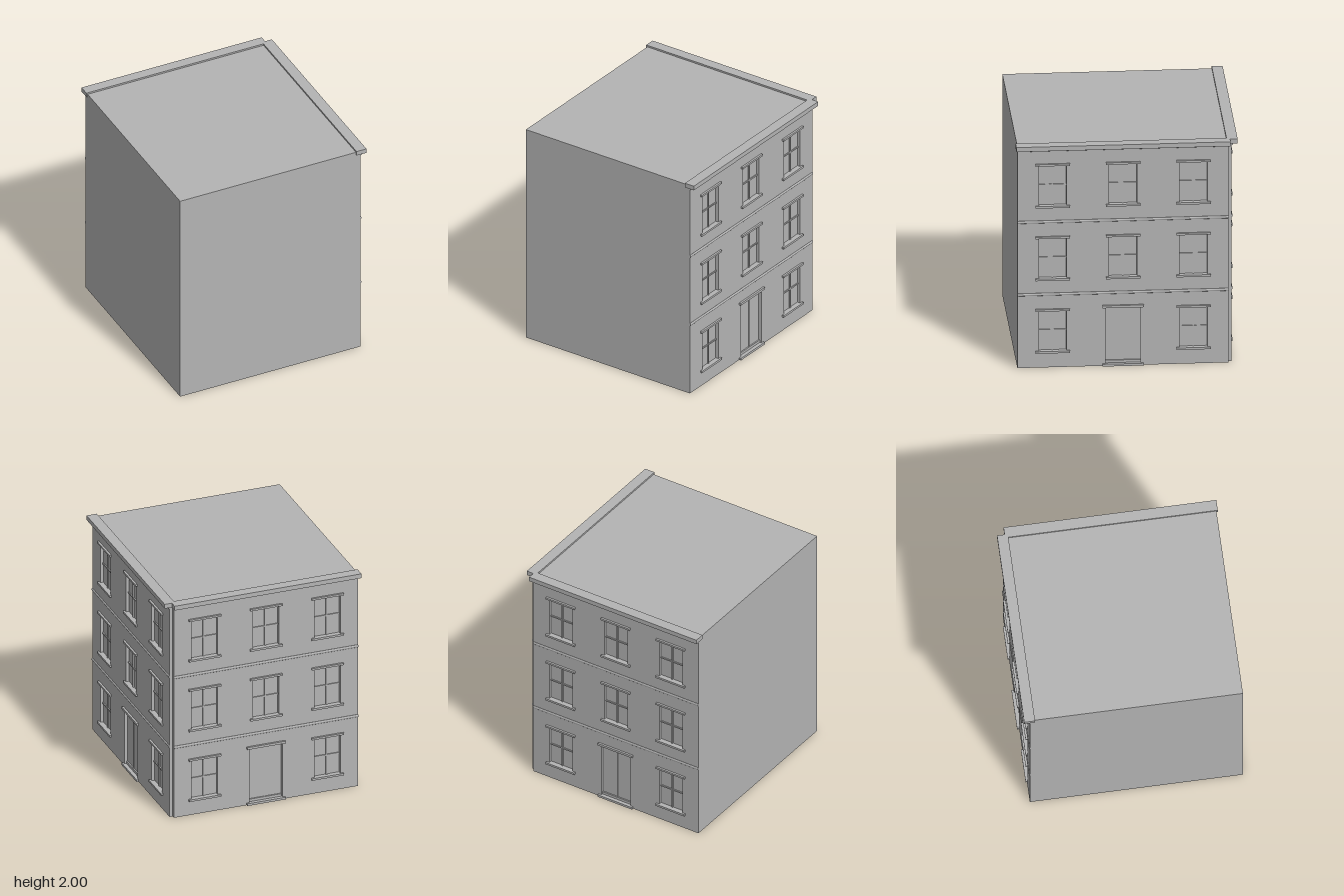
import * as THREE from 'three';

const stone = new THREE.MeshStandardMaterial({ color: 0xb4b4b4 });
stone.name = 'stone grey';

const T = 0.027;        // facade thickness, also the depth of the window reveals
const OUT = 0.018;      // how far sills and lintels stand out
const X0 = -0.862, X1 = 0.793, Z0 = -0.855, Z1 = 0.918; // core block
const ROWS = [0.328, 0.98, 1.632];                      // window centre heights
const WIN_W = 0.232, WIN_H = 0.359;
const DOOR_W = 0.294, DOOR_Y0 = 0.02, DOOR_Y1 = 0.523;

// Box given by its min and max corners
function block(parent, name, x0, x1, y0, y1, z0, z1) {
  const mesh = new THREE.Mesh(new THREE.BoxGeometry(x1 - x0, y1 - y0, z1 - z0), stone);
  mesh.position.set((x0 + x1) / 2, (y0 + y1) / 2, (z0 + z1) / 2);
  mesh.name = name;
  parent.add(mesh);
}

// Rounded horizontal moulding half sunk into the facade
function bead(parent, name, width, y, radius, depth) {
  const geo = new THREE.CylinderGeometry(radius, radius, width, 16);
  geo.rotateZ(Math.PI / 2);
  geo.scale(1, 1, depth / radius);
  const mesh = new THREE.Mesh(geo, stone);
  mesh.position.set(0, y, T);
  mesh.name = name;
  parent.add(mesh);
}

function rectHole(x0, x1, y0, y1) {
  const hole = new THREE.Path();
  hole.moveTo(x0, y0);
  hole.lineTo(x0, y1);
  hole.lineTo(x1, y1);
  hole.lineTo(x1, y0);
  hole.closePath();
  return hole;
}

// Glazing bars, lintel and sill of one window
function addWindow(parent, x, y) {
  const g = new THREE.Group();
  g.name = 'window';
  g.position.set(x, y, 0);
  const w = WIN_W / 2, h = WIN_H / 2, ledge = w + 0.028;
  block(g, 'verticalBar', -0.006, 0.006, -h, h, -0.002, 0.01);
  block(g, 'horizontalBar', -w, w, -0.006, 0.006, -0.002, 0.009);
  block(g, 'lintel', -ledge, ledge, h, h + 0.017, T - 0.01, T + OUT);
  block(g, 'sill', -ledge, ledge, -h - 0.018, -h, T - 0.01, T + OUT);
  parent.add(g);
}

// Door opening with centre bar, threshold, step and lintel
function addDoor(parent) {
  const g = new THREE.Group();
  g.name = 'door';
  const w = DOOR_W / 2, ledge = w + 0.026;
  block(g, 'doorCentreBar', -0.004, 0.004, DOOR_Y0, DOOR_Y1, -0.002, 0.008);
  block(g, 'threshold', -w, w, DOOR_Y0, 0.043, -0.002, 0.012);
  block(g, 'doorStep', -ledge, ledge, 0, DOOR_Y0, T - 0.01, T + OUT);
  block(g, 'doorLintel', -ledge, ledge, DOOR_Y1, DOOR_Y1 + 0.021, T - 0.01, T + OUT);
  parent.add(g);
}

// One street front, built facing +z with its back on z = 0
function facade(name, width) {
  const g = new THREE.Group();
  g.name = name;
  const half = width / 2, bay = width / 3;

  const shape = new THREE.Shape();
  shape.moveTo(-half, 0);
  shape.lineTo(half, 0);
  shape.lineTo(half, 1.97);
  shape.lineTo(-half, 1.97);
  shape.closePath();

  ROWS.forEach((y, row) => {
    for (const col of [-1, 0, 1]) {
      if (row === 0 && col === 0) continue; // door bay
      const x = col * bay;
      shape.holes.push(rectHole(x - WIN_W / 2, x + WIN_W / 2, y - WIN_H / 2, y + WIN_H / 2));
      addWindow(g, x, y);
    }
  });
  shape.holes.push(rectHole(-DOOR_W / 2, DOOR_W / 2, DOOR_Y0, DOOR_Y1));
  addDoor(g);

  const wall = new THREE.Mesh(
    new THREE.ExtrudeGeometry(shape, { depth: T, bevelEnabled: false }), stone);
  wall.name = 'facadeWall';
  g.add(wall);

  // Floor bands and cornice
  bead(g, 'floorBand', width, 0.656, 0.012, 0.008);
  bead(g, 'floorBand', width, 1.307, 0.012, 0.008);
  bead(g, 'corniceMoulding', width, 1.955, 0.014, 0.012);
  block(g, 'cornice', -half - 0.012, half + 0.012, 1.96, 2, -0.016, 0.076);
  return g;
}

export function createModel() {
  const model = new THREE.Group();
  model.name = 'cornerBuilding';

  block(model, 'buildingCore', X0, X1, 0, 1.985, Z0, Z1);

  const side = facade('sideFacade', Z1 - Z0);
  side.rotation.y = Math.PI / 2;
  side.position.set(X1, 0, (Z0 + Z1) / 2);
  model.add(side);

  const back = facade('backFacade', X1 - X0);
  back.rotation.y = Math.PI;
  back.position.set((X0 + X1) / 2, 0, Z0);
  model.add(back);

  return model;
}
